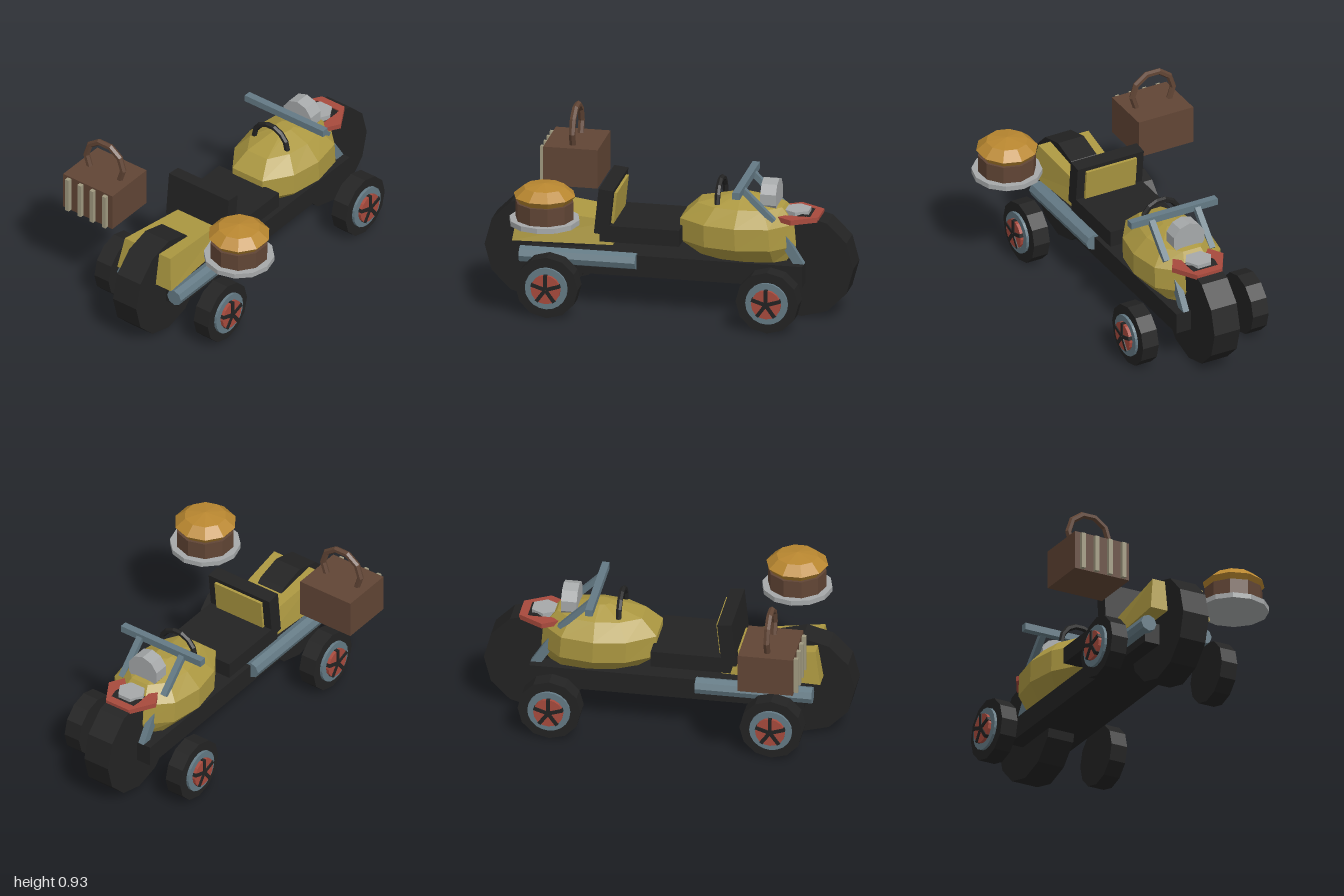
import * as THREE from 'three';

const mat = (name, color) => {
  const m = new THREE.MeshStandardMaterial({ color });
  m.name = name;
  return m;
};

// Flat-faceted mesh added to a parent
function add(parent, name, geo, material, x = 0, y = 0, z = 0) {
  const g = geo.index ? geo.toNonIndexed() : geo;
  g.computeVertexNormals();
  const mesh = new THREE.Mesh(g, material);
  mesh.name = name;
  mesh.position.set(x, y, z);
  parent.add(mesh);
  return mesh;
}

const box = (w, h, d) => new THREE.BoxGeometry(w, h, d);
const cyl = (r, h, n) => new THREE.CylinderGeometry(r, r, h, n);
const axle = (r, w, n) => cyl(r, w, n).rotateZ(Math.PI / 2);

// Closed solid from rings stacked upward; each ring is counterclockwise from above
function loft(rings) {
  const n = rings[0].length, pos = rings.flat(2), idx = [];
  for (let r = 0; r < rings.length - 1; r++) {
    for (let i = 0; i < n; i++) {
      const a = r * n + i, b = r * n + (i + 1) % n;
      idx.push(a, b, b + n, a, b + n, a + n);
    }
  }
  const top = (rings.length - 1) * n;
  for (let i = 1; i < n - 1; i++) {
    idx.push(0, i + 1, i, top, top + i, top + i + 1);
  }
  const g = new THREE.BufferGeometry();
  g.setAttribute('position', new THREE.Float32BufferAttribute(pos, 3));
  g.setIndex(idx);
  return g;
}

// Square bar between two [y, z] points at a given x
function bar(parent, name, material, x, [y0, z0], [y1, z1], w, d) {
  const dy = y1 - y0, dz = z1 - z0;
  const m = add(parent, name, box(w, Math.hypot(dy, dz), d), material, x, (y0 + y1) / 2, (z0 + z1) / 2);
  m.rotation.x = Math.atan2(dz, dy);
}

export function createModel() {
  const black = mat('black', 0x232323), yellow = mat('yellow', 0xac9841);
  const slate = mat('slate', 0x647a85), red = mat('red', 0xa84a3d);
  const grey = mat('light grey', 0xa6a9aa), brown = mat('brown', 0x614535);
  const tan = mat('bun tan', 0xb98730), beige = mat('beige', 0xa09a80);

  const model = new THREE.Group();
  model.name = 'buggy';
  const car = new THREE.Group();
  car.name = 'vehicle';
  car.position.x = -0.025;
  model.add(car);

  // Chassis and the two large centre wheels
  add(car, 'chassis', box(0.33, 0.118, 1.48), black, 0, 0.255, 0);
  for (const s of [1, -1]) {
    add(car, s > 0 ? 'frontCentreWheel' : 'rearCentreWheel', axle(0.283, 0.155, 12), black, 0, 0.291, 0.717 * s);
  }

  // Front cowl, tapering toward the seat
  const quad = (y, zf, wf, zb, wb) => [[-wf, y, zf], [wf, y, zf], [wb, y, zb], [-wb, y, zb]];
  add(car, 'cowl', loft([quad(0.357, 0.83, 0.18, 0.29, 0.145), quad(0.54, 0.8, 0.152, 0.29, 0.12)]), yellow)
    .geometry.computeBoundingBox();
  const cowl = car.children[car.children.length - 1].geometry;
  const cp = cowl.attributes.position;
  for (let i = 0; i < cp.count; i++) {
    if (cp.getY(i) > 0.5 && cp.getZ(i) < 0.5) cp.setY(i, 0.483);
  }
  cowl.computeVertexNormals();

  // Seat with a leaning backrest
  add(car, 'seatBase', box(0.4, 0.09, 0.43), black, 0, 0.437, 0.135);
  const back = new THREE.Group();
  back.name = 'seatBack';
  back.position.set(0, 0.557, 0.33);
  back.rotation.x = -0.105;
  car.add(back);
  add(back, 'backrest', box(0.4, 0.25, 0.078), black);
  add(back, 'backrestPanel', box(0.305, 0.18, 0.016), yellow, 0, 0.012, -0.046);

  // Rear body: faceted tank built from rings
  const half = [[0.1, 0], [0.2, 0.24], [0.23, 0.52], [0.2, 0.81], [0.08, 1]];
  const outline = [...half, ...half.map(([x, t]) => [-x, t]).reverse()];
  const tankRings = [
    [0.315, 0.65, -0.17, -0.67], [0.4, 1, -0.065, -0.69], [0.52, 1, -0.065, -0.68],
    [0.602, 0.66, -0.15, -0.61], [0.652, 0.2, -0.33, -0.43],
  ].map(([y, s, zf, zb]) => outline.map(([x, t]) => [x * s, y, zf + (zb - zf) * t]));
  add(car, 'tank', loft(tankRings), yellow);

  // Arched grip on the tank
  add(car, 'grip', new THREE.TorusGeometry(0.11, 0.016, 6, 7, Math.PI), black, 0, 0.615, -0.268);

  // Crossbar, supports and side pipes
  add(car, 'crossbar', box(0.525, 0.038, 0.04), slate, 0, 0.72, -0.402);
  for (const s of [1, -1]) {
    bar(car, 'crossbarSupport', slate, 0.138 * s, [0.715, -0.415], [0.55, -0.58], 0.034, 0.03);
    bar(car, 'rearFork', slate, 0.105 * s, [0.52, -0.58], [0.3, -0.72], 0.035, 0.05);
    add(car, 'sidePipe', cyl(0.046, 0.63, 8).rotateX(Math.PI / 2), slate, 0.168 * s, 0.284, 0.473);
  }

  // Lamp and the red tail frame with its lens
  add(car, 'lamp', cyl(0.096, 0.085, 10).rotateX(Math.PI / 2), grey, 0, 0.65, -0.54);
  const mirrored = (pts) => [...pts, ...pts.map(([x, y]) => [-x, y]).reverse()].map((p) => new THREE.Vector2(...p));
  const frame = new THREE.Shape(mirrored([[0.1, 0.58], [0.155, 0.675], [0.075, 0.81]]));
  frame.holes.push(new THREE.Path(mirrored([[0.075, 0.61], [0.075, 0.765]])));
  add(car, 'tailFrame', new THREE.ExtrudeGeometry(frame, { depth: 0.028, bevelEnabled: false }).rotateX(-Math.PI / 2), red, 0, 0.539, 0);
  add(car, 'tailLens', cyl(0.077, 0.03, 6).rotateY(Math.PI / 6), grey, 0, 0.571, -0.682);

  // Four outrigger wheels with five-spoke hubs
  for (const s of [1, -1]) {
    for (const z of [0.6, -0.595]) {
      const wheel = new THREE.Group();
      wheel.name = 'outriggerWheel';
      wheel.position.set(0.333 * s, 0.174, z);
      car.add(wheel);
      add(wheel, 'tire', axle(0.17, 0.095, 12), black);
      add(wheel, 'rim', axle(0.115, 0.02, 20), slate, 0.053 * s);
      add(wheel, 'hubDisc', axle(0.08, 0.02, 16), red, 0.07 * s);
      for (let i = 0; i < 5; i++) {
        const a = i * Math.PI * 0.4;
        add(wheel, 'spoke', box(0.022, 0.08, 0.02), black, 0.075 * s, 0.042 * Math.cos(a), 0.042 * Math.sin(a)).rotation.x = a;
      }
    }
  }

  // Basket with slats and an arched handle
  const basket = new THREE.Group();
  basket.name = 'basket';
  basket.position.set(-0.46, 0, 0.608);
  model.add(basket);
  add(basket, 'basketBody', box(0.33, 0.215, 0.296), brown, 0, 0.628, 0);
  for (let i = 0; i < 4; i++) {
    add(basket, 'slat', box(0.024, 0.203, 0.025), beige, -0.123 + 0.082 * i, 0.625, 0.158);
  }
  const arch = new THREE.TorusGeometry(0.123, 0.018, 6, 7, Math.PI * 1.4).rotateZ(-Math.PI * 0.2);
  add(basket, 'basketHandle', arch, brown, 0, 0.8, 0);

  // Burger on a plate
  const burger = new THREE.Group();
  burger.name = 'burger';
  burger.position.set(0.43, 0, 0.595);
  model.add(burger);
  add(burger, 'plate', cyl(0.189, 0.028, 12), grey, 0, 0.581, 0);
  add(burger, 'patty', cyl(0.157, 0.098, 10), brown, 0, 0.643, 0);
  const bun = [[0, 0.69], [0.14, 0.69], [0.167, 0.725], [0.112, 0.772], [0, 0.79]].map((p) => new THREE.Vector2(...p));
  add(burger, 'bun', new THREE.LatheGeometry(bun, 10), tan);

  return model;
}
